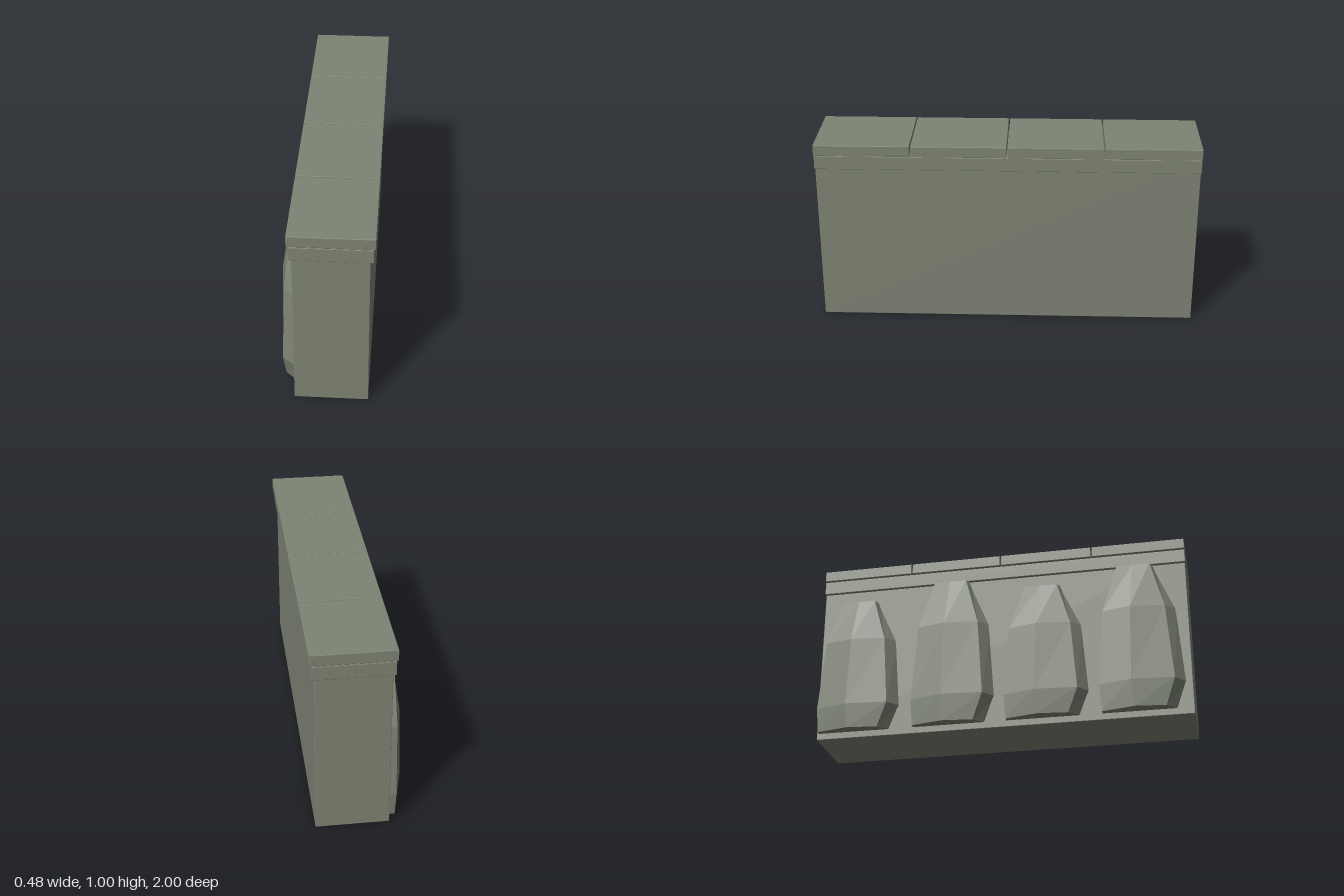
import * as THREE from 'three';
import { RoundedBoxGeometry } from 'three/addons/geometries/RoundedBoxGeometry.js';

const stone = new THREE.MeshStandardMaterial({ color: 0x7e8474, flatShading: true });
stone.name = 'grey green stone';

// Block with a tiny edge bevel, given by its extents
function block(name, x0, x1, y0, y1, z0, z1) {
  const geo = new RoundedBoxGeometry(x1 - x0, y1 - y0, z1 - z0, 1, 0.003);
  const mesh = new THREE.Mesh(geo, stone);
  mesh.position.set((x0 + x1) / 2, (y0 + y1) / 2, (z0 + z1) / 2);
  mesh.name = name;
  return mesh;
}

// Faceted slab lofted through four levels; each point is [distance along wall, depth from wall]
const LEVELS = [
  { t: 0, ring: [[0.03, -0.01], [0.03, 0.03], [0.2, 0.071], [0.36, 0.053], [0.42, -0.01]] },
  { t: 0.175, ring: [[0.02, -0.01], [0.02, 0.035], [0.19, 0.083], [0.41, 0.063], [0.47, -0.01]] },
  { t: 0.68, ring: [[0.05, -0.01], [0.05, 0.035], [0.2, 0.073], [0.38, 0.05], [0.44, -0.01]] },
  { t: 1, ring: [[0.13, -0.01], [0.135, 0.03], [0.22, 0.033], [0.31, 0.03], [0.33, -0.01]] },
];

function rockSlab(z0, top, depth) {
  const bottom = 0.035, wallX = -0.157;
  const rings = LEVELS.map(({ t, ring }) => ring.map(([u, d]) =>
    [wallX - d * depth, bottom + (top - bottom) * t, z0 + u]));
  const pos = [];
  const tri = (a, b, c) => pos.push(...a, ...b, ...c);
  const n = rings[0].length;
  for (let l = 0; l < rings.length - 1; l++) {
    for (let i = 0; i < n; i++) {
      const j = (i + 1) % n;
      const a = rings[l][i], b = rings[l][j], c = rings[l + 1][j], d = rings[l + 1][i];
      tri(a, b, c);
      tri(a, c, d);
    }
  }
  // End caps
  const low = rings[0], high = rings[rings.length - 1];
  for (let i = 1; i < n - 1; i++) {
    tri(low[0], low[i + 1], low[i]);
    tri(high[0], high[i], high[i + 1]);
  }
  const geo = new THREE.BufferGeometry();
  geo.setAttribute('position', new THREE.Float32BufferAttribute(pos, 3));
  geo.computeVertexNormals();
  const mesh = new THREE.Mesh(geo, stone);
  mesh.name = 'rockSlab';
  return mesh;
}

export function createModel() {
  const model = new THREE.Group();
  model.name = 'stoneWall';

  // Wall body and the band below the coping
  model.add(block('wallBody', -0.157, 0.213, 0, 0.943, -0.998, 0.998));
  model.add(block('band', -0.173, 0.228, 0.864, 0.938, -1, 1));

  // Four coping stones with narrow joints
  for (let i = 0; i < 4; i++) {
    const z = -1 + i * 0.5;
    const z0 = i === 0 ? z : z + 0.003, z1 = i === 3 ? z + 0.5 : z + 0.497;
    model.add(block('copingStone', -0.181, 0.237, 0.941, 1, z0, z1));
  }

  // Rock slabs leaning on one side, alternating in height
  const slabs = [[-1.015, 0.79, 0.93], [-0.5, 0.865, 0.93], [0, 0.79, 0.95], [0.5, 0.865, 1]];
  for (const [z, top, depth] of slabs) model.add(rockSlab(z, top, depth));

  return model;
}
